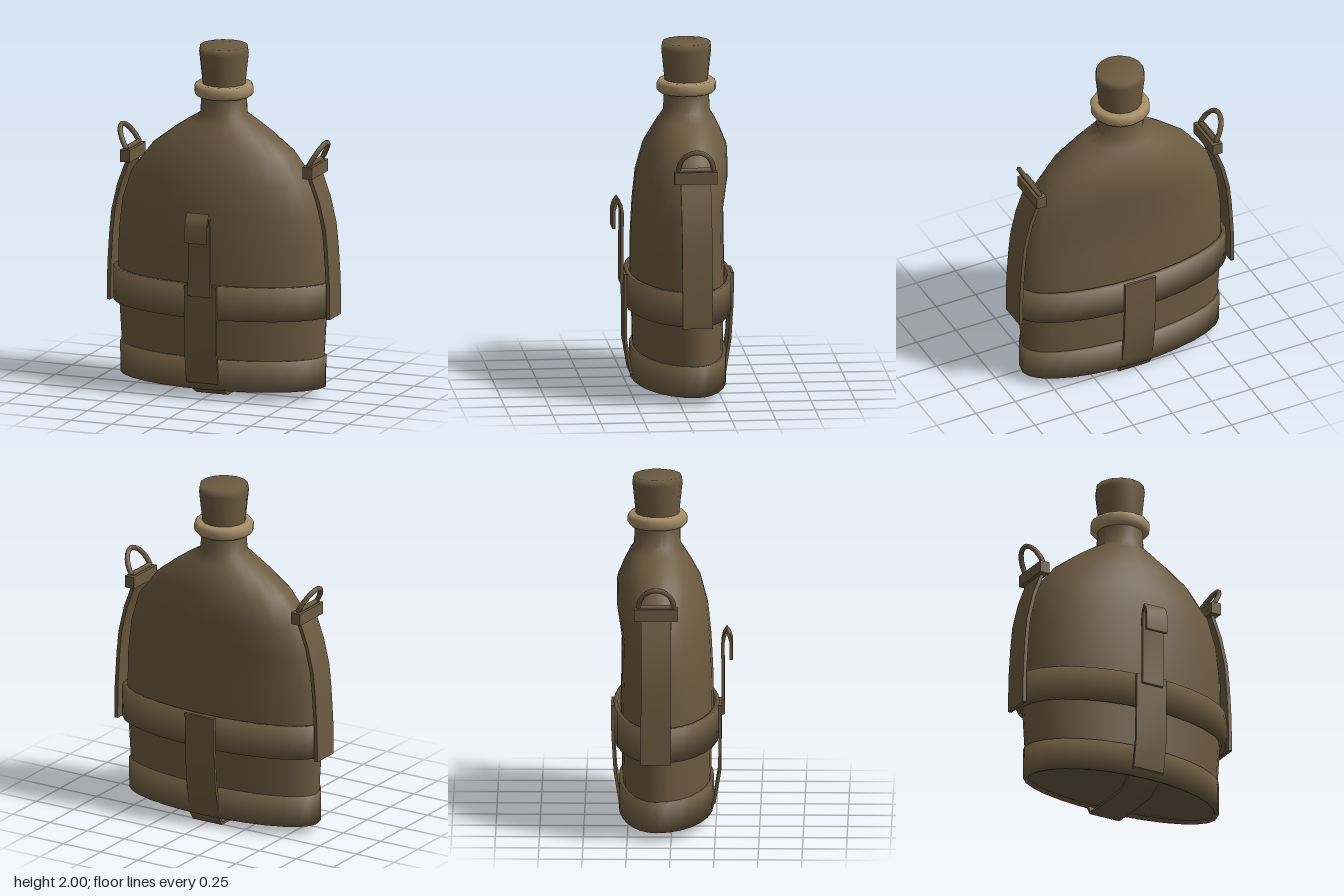
import * as THREE from 'three';
import { toCreasedNormals } from 'three/addons/utils/BufferGeometryUtils.js';

const ZC = -0.085; // depth of the flask's long axis

// Loft oval sections [y, halfWidth, zFront, zBack] from first to last
function loft(sections, crease, n = 28) {
  const pos = [], idx = [];
  for (const [y, hx, zf, zb] of sections) {
    for (let j = 0; j < n; j++) {
      const t = (j / n) * Math.PI * 2, s = Math.sin(t);
      pos.push(hx * Math.cos(t), y, ZC + s * (s > 0 ? zf - ZC : ZC - zb));
    }
  }
  for (let i = 0; i < sections.length - 1; i++) {
    for (let j = 0; j < n; j++) {
      const a = i * n + j, b = i * n + (j + 1) % n;
      idx.push(a, a + n, b, b, a + n, b + n);
    }
  }
  const g = new THREE.BufferGeometry();
  g.setAttribute('position', new THREE.Float32BufferAttribute(pos, 3));
  g.setIndex(idx);
  return toCreasedNormals(g, crease);
}

// Hollow oval band with thickness t
function band(bottom, top, t = 0.025) {
  const inner = ([y, hx, zf, zb]) => [y, hx - t, zf - t, zb + t];
  return loft([bottom, top, inner(top), inner(bottom), bottom], Math.PI);
}

// Flat strap: thicken a 2D path, extrude it to a centred width
function strap(path, width, t) {
  const pts = path.map(p => new THREE.Vector2(...p));
  const side = k => pts.map((p, i) => {
    const d0 = pts[i].clone().sub(pts[Math.max(i - 1, 0)]).normalize();
    const d1 = pts[Math.min(i + 1, pts.length - 1)].clone().sub(pts[i]).normalize();
    const d = d0.add(d1).normalize();
    return new THREE.Vector2(p.x - d.y * k * t / 2, p.y + d.x * k * t / 2);
  });
  const shape = new THREE.Shape([...side(1), ...side(-1).reverse()]);
  const g = new THREE.ExtrudeGeometry(shape, { depth: width, bevelEnabled: false });
  g.translate(0, 0, -width / 2);
  return toCreasedNormals(g, 0.8);
}

export function createModel() {
  const model = new THREE.Group();
  const olive = new THREE.MeshStandardMaterial({ color: 0x6b5a40 });
  olive.name = 'olive brown';
  const tan = new THREE.MeshStandardMaterial({ color: 0xa58d66 });
  tan.name = 'tan';

  const add = (name, geometry, material = olive, parent = model) => {
    const mesh = new THREE.Mesh(geometry, material);
    mesh.name = name;
    parent.add(mesh);
    return mesh;
  };

  // Flask body with slightly hollow back and round neck
  add('flaskBody', loft([
    [0.05, 0.001, ZC + 0.001, ZC - 0.001],
    [0.05, 0.45, 0.13, -0.22],
    [0.07, 0.6, 0.21, -0.28],
    [0.24, 0.615, 0.22, -0.285],
    [0.48, 0.63, 0.226, -0.29],
    [0.68, 0.636, 0.235, -0.295],
    [0.88, 0.632, 0.232, -0.29],
    [1.07, 0.61, 0.222, -0.288],
    [1.24, 0.555, 0.205, -0.315],
    [1.4, 0.43, 0.163, -0.315],
    [1.5, 0.3, 0.11, -0.275],
    [1.56, 0.21, 0.075, -0.245],
    [1.605, 0.135, 0.047, -0.218],
    [1.72, 0.13, 0.045, -0.215],
  ], 1.0));

  // Bands around the body
  add('lowerBand', band([0.055, 0.622, 0.235, -0.305], [0.235, 0.624, 0.237, -0.305]));
  add('upperBand', band([0.475, 0.664, 0.268, -0.335], [0.672, 0.664, 0.268, -0.335]));

  // Neck collar and stopper
  const lathe = pts => new THREE.LatheGeometry(pts.map(p => new THREE.Vector2(...p)), 14);
  add('neckCollar', lathe([
    [0.12, 1.71], [0.155, 1.708], [0.17, 1.725], [0.171, 1.76], [0.16, 1.78], [0.12, 1.78],
  ]), tan).position.z = ZC;
  add('stopper', lathe([
    [0.12, 1.72], [0.125, 1.79], [0.143, 1.96], [0.137, 2], [0, 2],
  ]), olive).position.z = ZC;

  // Strap running from the front, under the base and up the back
  add('cradleStrap', strap([
    [0.272, 0.668], [0.27, 0.28], [0.24, 0.1], [0.17, 0.055], [0.09, 0.0085],
    [-0.258, 0.0085], [-0.29, 0.06], [-0.325, 0.28], [-0.338, 0.5], [-0.34, 0.668],
  ], 0.195, 0.017)).rotation.y = -Math.PI / 2;

  // Belt hook at the front
  add('beltHook', strap([
    [0.29, 0.61], [0.287, 1.02], [0.296, 1.065], [0.31, 1.092],
    [0.325, 1.065], [0.335, 1.03], [0.335, 0.93],
  ], 0.135, 0.018)).rotation.y = -Math.PI / 2;

  // Carrying strap, buckle and ring on each side
  for (const side of ['left', 'right']) {
    const group = new THREE.Group();
    group.name = side + 'Carrier';
    group.position.z = ZC;
    group.rotation.y = side === 'left' ? 0 : Math.PI;
    add('sideStrap', strap([
      [0.673, 0.47], [0.67, 0.68], [0.658, 0.87], [0.645, 1], [0.61, 1.15], [0.558, 1.29],
    ], 0.172, 0.022), olive, group);
    add('buckle', new THREE.BoxGeometry(0.06, 0.07, 0.245), olive, group).position.set(0.56, 1.325, 0);
    const arc = [];
    for (let i = 0; i <= 10; i++) {
      const a = (i / 10) * Math.PI, s = Math.sin(a);
      arc.push(new THREE.Vector3(0.56 + 0.066 * s, 1.365 + 0.118 * s, 0.1 * Math.cos(a)));
    }
    add('ring', new THREE.TubeGeometry(new THREE.CatmullRomCurve3(arc), 16, 0.015, 6), olive, group);
    const bar = new THREE.CylinderGeometry(0.015, 0.015, 0.2, 6).rotateX(Math.PI / 2);
    add('ringBar', bar, olive, group).position.set(0.56, 1.367, 0);
    model.add(group);
  }
  return model;
}
